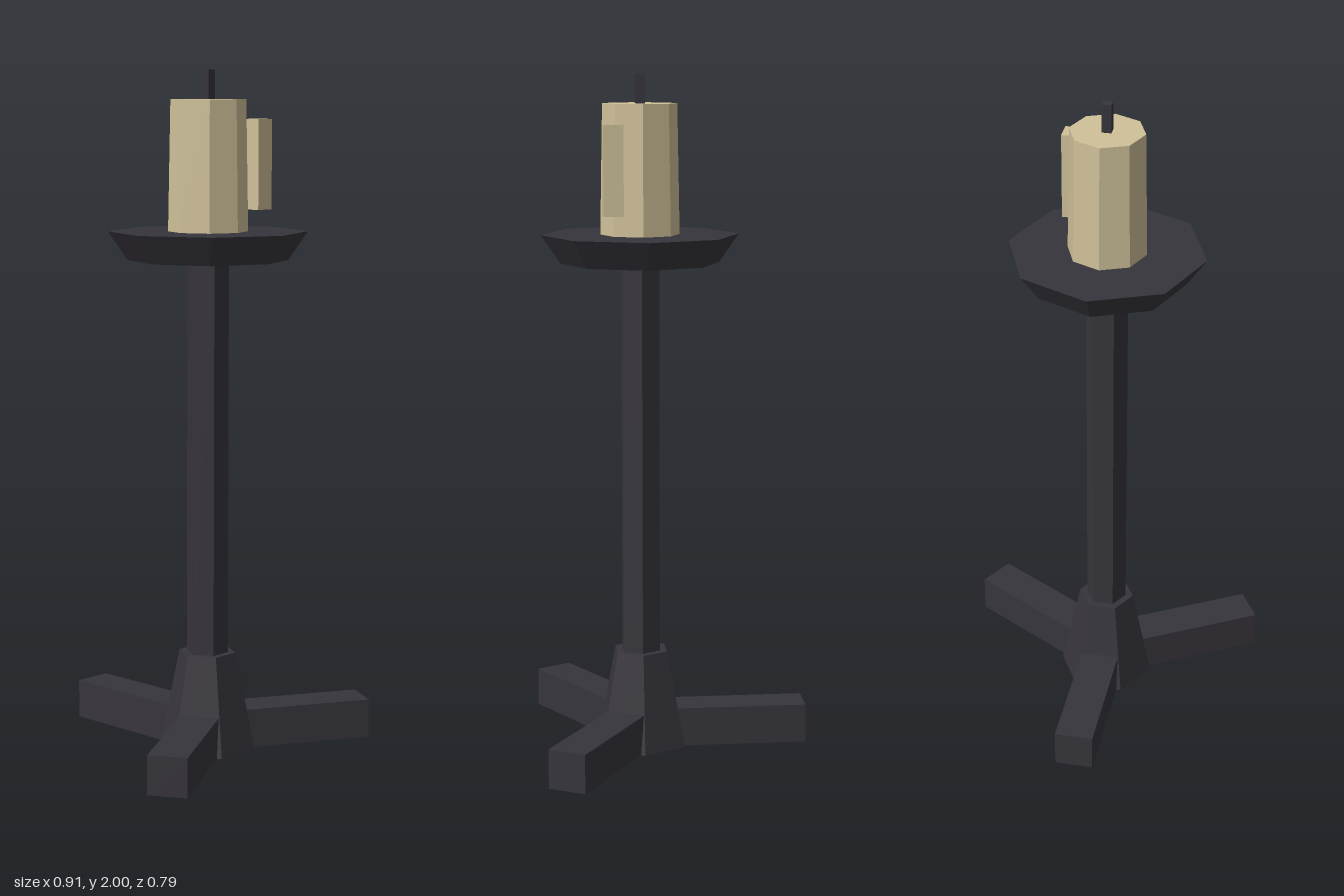
import * as THREE from 'three';

export function createModel() {
  const iron = new THREE.MeshStandardMaterial({ color: 0x37353c });
  iron.name = 'dark iron';
  const wax = new THREE.MeshStandardMaterial({ color: 0xcfc199 });
  wax.name = 'cream wax';

  const model = new THREE.Group();
  model.name = 'candleStand';
  const stand = new THREE.Group();
  stand.name = 'stand';
  stand.position.z = 0.097; // the upright sits forward of the middle
  model.add(stand);

  const add = (name, geometry, material, x, y, z) => {
    const mesh = new THREE.Mesh(geometry, material);
    mesh.name = name;
    mesh.position.set(x, y, z);
    stand.add(mesh);
    return mesh;
  };

  // Faceted upright solid from y0 to y1
  const prism = (name, material, rTop, rBottom, y0, y1, sides, turn = 0) => {
    const g = new THREE.CylinderGeometry(rTop, rBottom, y1 - y0, sides, 1, false, turn).toNonIndexed();
    g.computeVertexNormals();
    return add(name, g, material, 0, (y0 + y1) / 2, 0);
  };

  // Three feet: one straight back, two splayed forward
  for (let i = 0; i < 3; i++) {
    const g = new THREE.BoxGeometry(0.116, 0.116, 0.494);
    g.translate(0, 0.058, -0.247);
    add('foot' + (i + 1), g, iron, 0, 0, 0).rotation.y = (i * Math.PI * 2) / 3;
  }

  // Hexagonal hub and pole, octagonal drip tray
  prism('hub', iron, 0.085, 0.145, 0, 0.29, 6, Math.PI / 6);
  prism('pole', iron, 0.062, 0.062, 0.28, 1.46, 6, Math.PI / 6);
  prism('dripTray', iron, 0.29, 0.233, 1.455, 1.538, 8);

  // Candle, wax drip and wick
  prism('candle', wax, 0.109, 0.116, 1.538, 1.916, 8);
  add('waxDrip', new THREE.BoxGeometry(0.058, 0.26, 0.058), wax, 0.116, 1.73, 0.087);
  add('wick', new THREE.BoxGeometry(0.027, 0.1, 0.027), iron, 0, 1.95, 0);

  return model;
}
